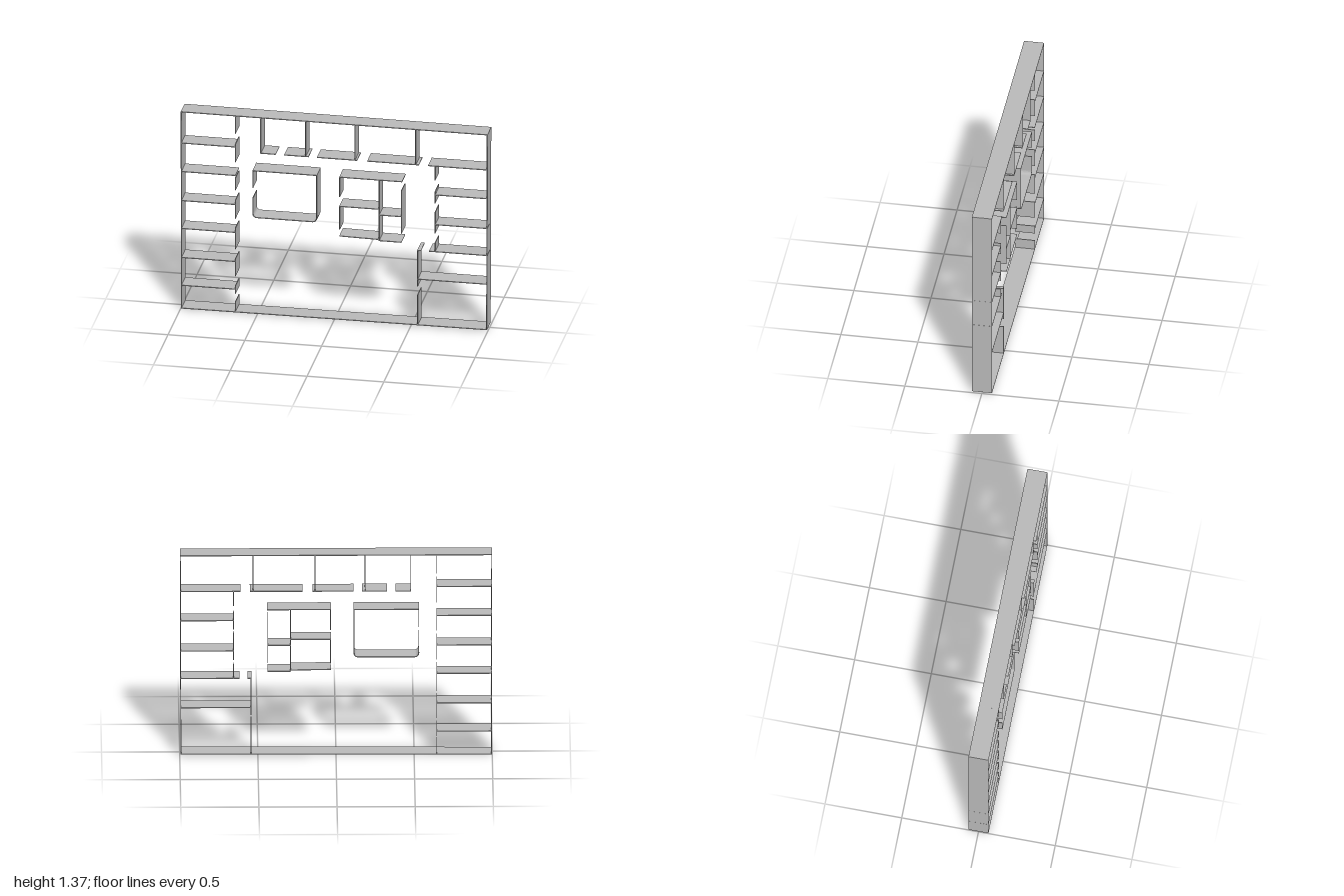
import * as THREE from 'three';

const DEPTH = 0.13;      // wall height of the floor plan, along z
const THICK = 0.005;     // wall thickness

export function createModel() {
  const model = new THREE.Group();
  model.name = 'floorPlanWalls';
  const wallGrey = new THREE.MeshStandardMaterial({ color: 0xb8b8b8 });
  wallGrey.name = 'wallGrey';

  const section = (name) => {
    const g = new THREE.Group();
    g.name = name;
    model.add(g);
    return g;
  };
  // straight wall between two plan points
  const wall = (group, name, x1, y1, x2, y2) => {
    const len = Math.hypot(x2 - x1, y2 - y1);
    const mesh = new THREE.Mesh(new THREE.BoxGeometry(len + THICK * 0.8, THICK, DEPTH), wallGrey);
    mesh.position.set((x1 + x2) / 2, (y1 + y2) / 2, 0);
    mesh.rotation.z = Math.atan2(y2 - y1, x2 - x1);
    mesh.name = name;
    group.add(mesh);
  };
  // runs of wall along one line, with door gaps between the spans
  const column = (group, name, x, spans) => spans.forEach(([a, b]) => wall(group, name, x, a, x, b));
  const row = (group, name, y, spans) => spans.forEach(([a, b]) => wall(group, name, a, y, b, y));

  // outer shell
  const shell = section('outerWalls');
  wall(shell, 'leftOuterWall', -0.996, 0.005, -0.997, 1.369);
  wall(shell, 'rightOuterWall', 0.992, 0.012, 0.996, 1.366);
  wall(shell, 'topOuterWall', -0.997, 1.369, 0.996, 1.366);
  wall(shell, 'bottomOuterWall', -0.996, 0.004, 0.992, 0.011);

  // row of rooms down the left side
  const left = section('leftRooms');
  column(left, 'leftCorridorWall', -0.645, [
    [1.245, 1.369], [1.047, 1.17], [0.854, 0.934], [0.656, 0.78],
    [0.442, 0.586], [0.255, 0.372], [0.132, 0.185], [0.006, 0.073],
  ]);
  for (const y of [1.152, 0.954, 0.752, 0.558, 0.356, 0.163])
    row(left, 'leftRoomDivider', y, [[-0.997, -0.645]]);

  // rooms along the top
  const top = section('topRooms');
  for (const x of [-0.479, -0.187, 0.134, 0.53])
    column(top, 'topRoomDivider', x, [[1.122, 1.367]]);
  row(top, 'topCorridorWall', 1.122, [
    [-0.479, -0.383], [-0.324, -0.169], [-0.11, 0.147], [0.217, 0.549], [0.613, 0.995],
  ]);

  // rooms down the right side
  const right = section('rightRooms');
  column(right, 'rightCorridorWall', 0.656, [
    [1.025, 1.122], [0.865, 0.943], [0.656, 0.8], [0.527, 0.586],
  ]);
  for (const y of [0.922, 0.715])
    row(right, 'rightRoomDivider', y, [[0.656, 0.995]]);
  row(right, 'rightRoomDivider', 0.527, [[0.543, 0.563], [0.62, 0.995]]);
  row(right, 'cornerRoomDivider', 0.327, [[0.543, 0.993]]);
  column(right, 'cornerRoomWall', 0.543, [[0.28, 0.527], [0.01, 0.217]]);

  // free-standing room with rounded lower corners
  const meeting = section('roundedRoom');
  const [xl, xr, yb, yt, r] = [-0.53, -0.115, 0.672, 0.996, 0.025];
  row(meeting, 'roundedRoomTop', yt, [[xl, xr]]);
  row(meeting, 'roundedRoomBottom', yb, [[xl + r, xr - r]]);
  column(meeting, 'roundedRoomLeft', xl, [[yb + r, 0.806], [0.88, yt]]);
  column(meeting, 'roundedRoomRight', xr, [[yb + r, yt]]);
  for (const [cx, side] of [[xl + r, -1], [xr - r, 1]]) {
    const steps = 4;
    const at = (i) => {
      const a = (i / steps) * Math.PI / 2;
      return [cx + side * r * Math.sin(a), yb + r - r * Math.cos(a)];
    };
    for (let i = 0; i < steps; i++) wall(meeting, 'roundedCorner', ...at(i), ...at(i + 1));
  }

  // free-standing block of small rooms
  const core = section('centreBlock');
  row(core, 'centreTopWall', 0.996, [[0.035, 0.44]]);
  column(core, 'centreLeftWall', 0.035, [[0.86, 0.996], [0.635, 0.793]]);
  column(core, 'centreSpineWall', 0.292, [[0.576, 0.996]]);
  column(core, 'centreRightWall', 0.436, [[0.635, 0.93]]);
  row(core, 'centreDivider', 0.793, [[0.035, 0.292]]);
  row(core, 'centreDivider', 0.753, [[0.292, 0.436]]);
  wall(core, 'centreBottomWall', 0.035, 0.587, 0.292, 0.583);
  row(core, 'centreBottomWall', 0.575, [[0.292, 0.436]]);

  return model;
}
